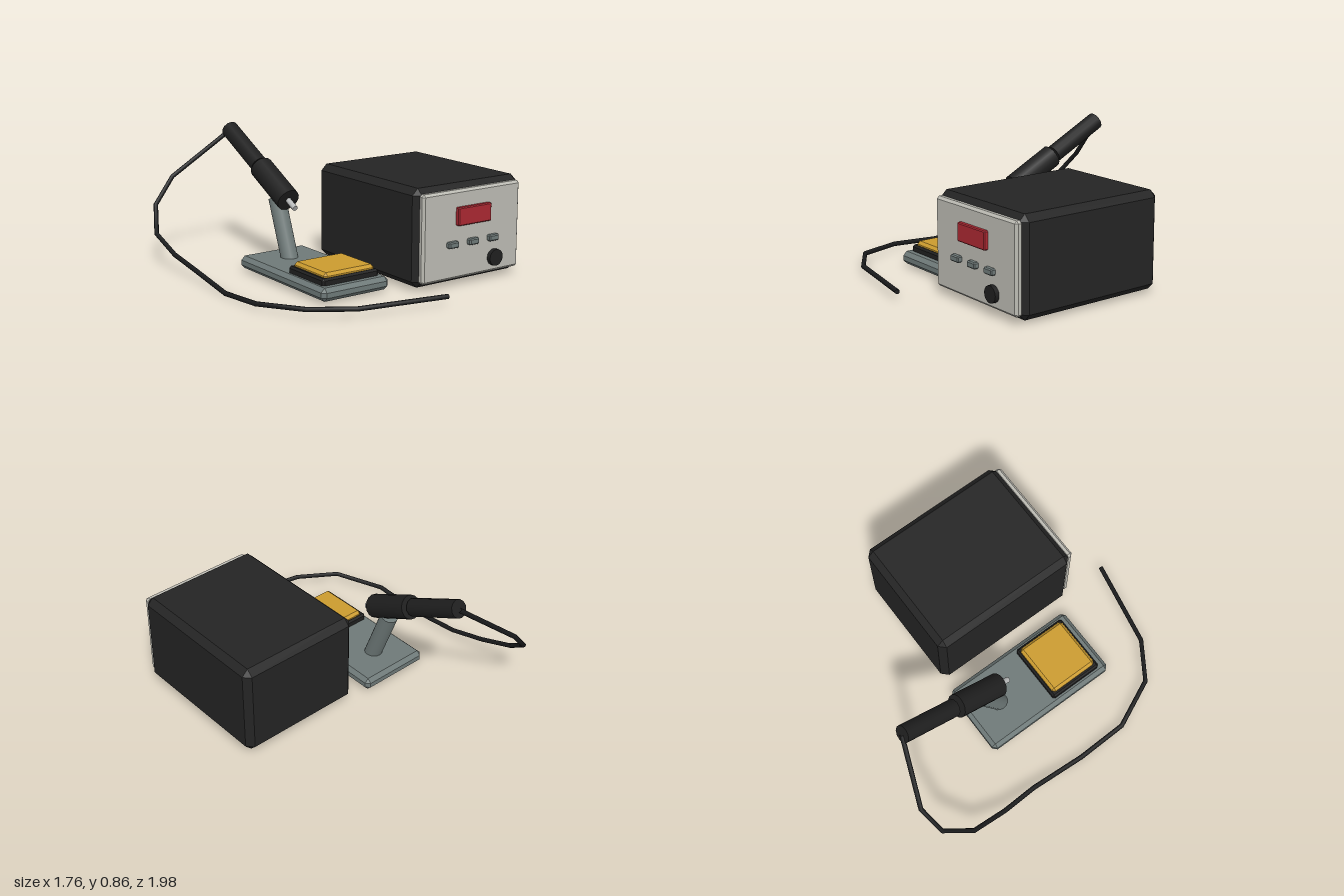
import * as THREE from 'three';
import { ConvexGeometry } from 'three/addons/geometries/ConvexGeometry.js';

const mat = (name, color, side = THREE.FrontSide) => {
  const m = new THREE.MeshStandardMaterial({ color, side });
  m.name = name;
  return m;
};

// Straight-segment path with mitred joints
class Polyline extends THREE.Curve {
  constructor(points) { super(); this.points = points; }
  getPoint(t, target = new THREE.Vector3()) {
    const n = this.points.length - 1;
    const f = Math.min(Math.max(t, 0), 1) * n;
    const i = Math.min(Math.floor(f), n - 1);
    return target.lerpVectors(this.points[i], this.points[i + 1], f - i);
  }
  getPointAt(u, target) { return this.getPoint(u, target); }
  getTangentAt(u, target) { return this.getTangent(u, target); }
}

export function createModel() {
  const model = new THREE.Group();
  model.name = 'solderingStation';

  const caseBlack = mat('caseBlack', 0x242424);
  const gripBlack = mat('gripBlack', 0x1f1f1f);
  const cordBlack = mat('cordBlack', 0x1a1b1c, THREE.DoubleSide);
  const panelGrey = mat('panelGrey', 0xbcbbb3);
  const steelGrey = mat('steelGrey', 0x6e7978);
  const displayRed = mat('displayRed', 0xaa2832);
  const spongeYellow = mat('spongeYellow', 0xcb9b2e);
  const tipSilver = mat('tipSilver', 0xb9bbbb);

  const add = (name, geometry, material, parent = model) => {
    const mesh = new THREE.Mesh(geometry, material);
    mesh.name = name;
    parent.add(mesh);
    return mesh;
  };

  // Box between two corners with every edge chamfered by c
  const chamferBox = (name, [x0, y0, z0], [x1, y1, z1], c, material, parent) => {
    const h = [(x1 - x0) / 2, (y1 - y0) / 2, (z1 - z0) / 2];
    const pts = [];
    for (const sx of [-1, 1]) for (const sy of [-1, 1]) for (const sz of [-1, 1])
      for (let k = 0; k < 3; k++) {
        const [x, y, z] = h.map((v, i) => (i === k ? v : v - c));
        pts.push(new THREE.Vector3(sx * x, sy * y, sz * z));
      }
    const mesh = add(name, new ConvexGeometry(pts), material, parent);
    mesh.position.set((x0 + x1) / 2, (y0 + y1) / 2, (z0 + z1) / 2);
    return mesh;
  };

  // Cylinder running from point a to point b
  const rod = (name, a, b, r, sides, material, parent) => {
    const dir = b.clone().sub(a);
    const mesh = add(name, new THREE.CylinderGeometry(r, r, dir.length(), sides), material, parent);
    mesh.position.copy(a).lerp(b, 0.5);
    mesh.quaternion.setFromUnitVectors(new THREE.Vector3(0, 1, 0), dir.normalize());
    return mesh;
  };
  const group = (name) => {
    const g = new THREE.Group();
    g.name = name;
    model.add(g);
    return g;
  };
  const V = (x, y, z) => new THREE.Vector3(x, y, z);

  // Control unit
  const unit = group('controlUnit');
  chamferBox('unitCase', [0.065, 0.02, -0.315], [0.88, 0.622, 0.69], 0.04, caseBlack, unit);
  chamferBox('frontPanel', [0.093, 0.048, 0.67], [0.855, 0.592, 0.72], 0.015, panelGrey, unit);
  chamferBox('display', [0.343, 0.378, 0.71], [0.602, 0.49, 0.747], 0.006, displayRed, unit);
  for (const x of [0.312, 0.472, 0.63])
    chamferBox('button', [x - 0.038, 0.248, 0.71], [x + 0.038, 0.287, 0.75], 0.007, steelGrey, unit);
  rod('knob', V(0.65, 0.14, 0.71), V(0.65, 0.14, 0.747), 0.052, 16, gripBlack, unit);

  // Stand with sponge tray
  const stand = group('stand');
  chamferBox('standBase', [-0.515, 0.015, -0.345], [-0.035, 0.096, 0.577], 0.025, steelGrey, stand);
  chamferBox('spongeTray', [-0.477, 0.08, 0.155], [-0.077, 0.137, 0.52], 0.012, gripBlack, stand);
  chamferBox('sponge', [-0.453, 0.11, 0.17], [-0.093, 0.164, 0.505], 0.018, spongeYellow, stand);
  rod('standPost', V(-0.278, 0.07, -0.125), V(-0.278, 0.45, -0.27), 0.055, 16, steelGrey, stand);

  // Iron resting in its holder, all parts on one tilted axis
  const iron = group('iron');
  const end = V(-0.278, 0.808, -0.832);
  const axis = V(0, -0.454, 0.891);
  const at = (d) => end.clone().addScaledVector(axis, d);
  rod('handle', at(0), at(0.405), 0.057, 12, gripBlack, iron);
  rod('holderSleeve', at(0.428), at(0.775), 0.075, 16, gripBlack, iron);
  rod('ironTip', at(0.76), at(0.86), 0.018, 10, tipSilver, iron);

  // Cord from the handle round to the front
  const path = [
    [-0.278, 0.8, -0.835], [-0.635, 0.51, -0.975], [-0.783, 0.348, -0.935], [-0.87, 0.2, -0.765],
    [-0.87, 0.115, -0.53], [-0.853, 0.063, -0.29], [-0.868, 0.015, 0.08], [-0.863, 0.035, 0.41],
    [-0.725, 0.055, 0.715], [-0.49, 0.055, 0.87], [0.07, 0.055, 0.98],
  ].map((p) => V(...p));
  add('cord', new THREE.TubeGeometry(new Polyline(path), path.length - 1, 0.015, 8), cordBlack);

  return model;
}
